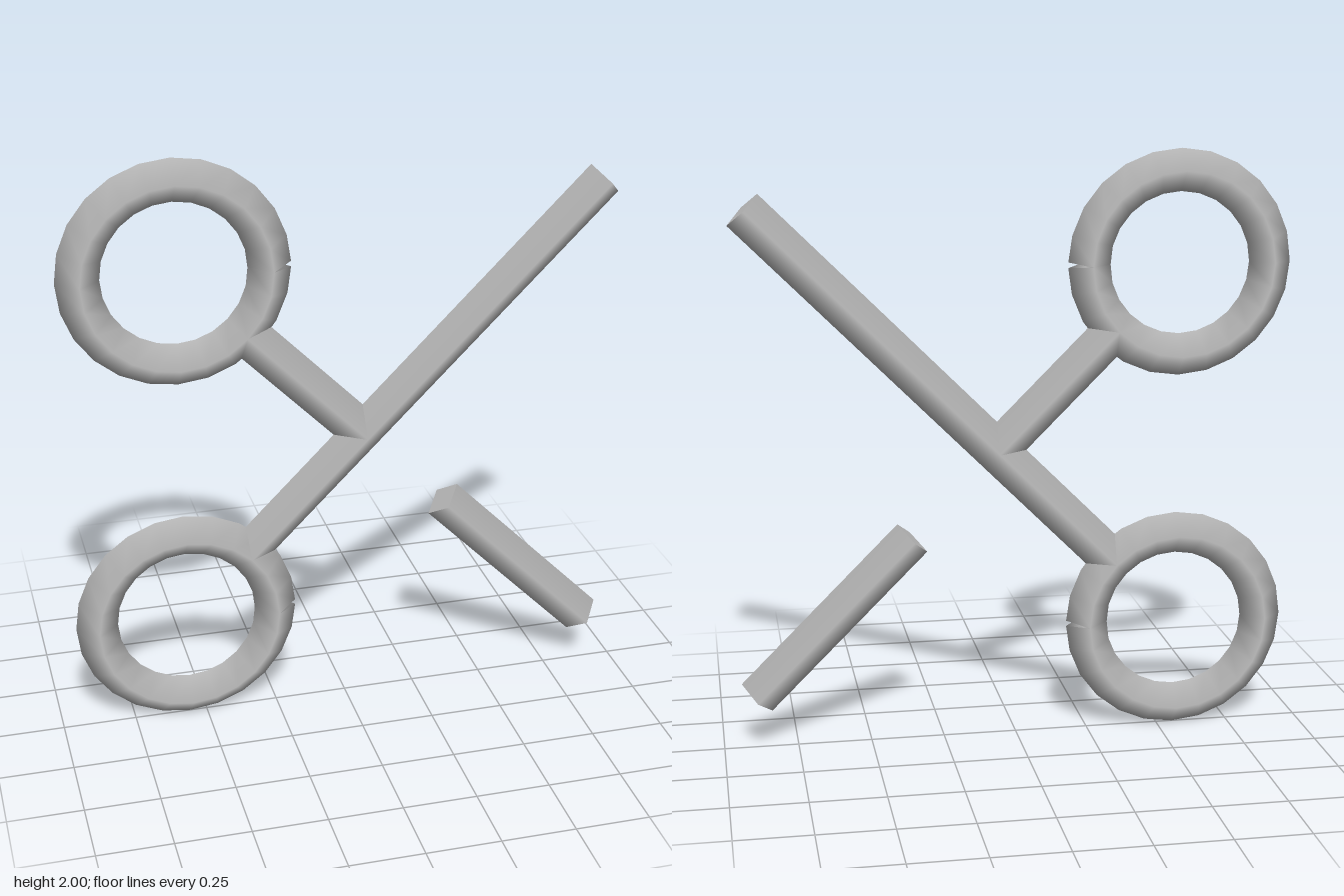
import * as THREE from 'three';

const RING_R = 0.309, TUBE_R = 0.071, RING_X = -0.557, SEGMENTS = 24;

// Diamond-section ring whose two ends tilt apart, leaving a small notch on the outside
function ringGeometry() {
  const geo = new THREE.TorusGeometry(RING_R, TUBE_R, 4, SEGMENTS);
  const pos = geo.attributes.position;
  const tilt = Math.tan(Math.PI / SEGMENTS);
  for (let i = 0; i < pos.count; i++) {
    const step = i % (SEGMENTS + 1);
    if (step !== 0 && step !== SEGMENTS) continue;
    const shift = (pos.getX(i) - RING_R) * tilt;
    pos.setY(i, step === 0 ? shift : -shift);
  }
  return geo;
}

export function createModel() {
  const group = new THREE.Group();
  const metal = new THREE.MeshStandardMaterial({ color: 0xbfbfbf });
  metal.name = 'grey';
  metal.side = THREE.DoubleSide;

  const add = (name, geo) => {
    const mesh = new THREE.Mesh(geo, metal);
    mesh.name = name;
    group.add(mesh);
    return mesh;
  };

  // Smooth four-sided bar between two points, corners facing front and back
  const bar = (name, x1, y1, x2, y2) => {
    const length = Math.hypot(x2 - x1, y2 - y1);
    const mesh = add(name, new THREE.CylinderGeometry(TUBE_R, TUBE_R, length, 4));
    mesh.position.set((x1 + x2) / 2, (y1 + y2) / 2, 0);
    mesh.rotation.z = Math.atan2(y2 - y1, x2 - x1) - Math.PI / 2;
  };

  // Finger rings
  const ring = ringGeometry();
  add('lowerRing', ring).position.set(RING_X, 0.38, 0);
  add('upperRing', ring).position.set(RING_X, 1.62, 0);

  // Blades: one unbroken, the other interrupted behind the crossing
  const d = RING_R * Math.SQRT1_2;
  bar('longBlade', RING_X + d, 0.38 + d, 0.886, 1.823);
  bar('upperHandle', RING_X + d, 1.62 - d, 0.063, 1.0);
  bar('bladeTip', 0.352, 0.711, 0.886, 0.177);

  return group;
}
